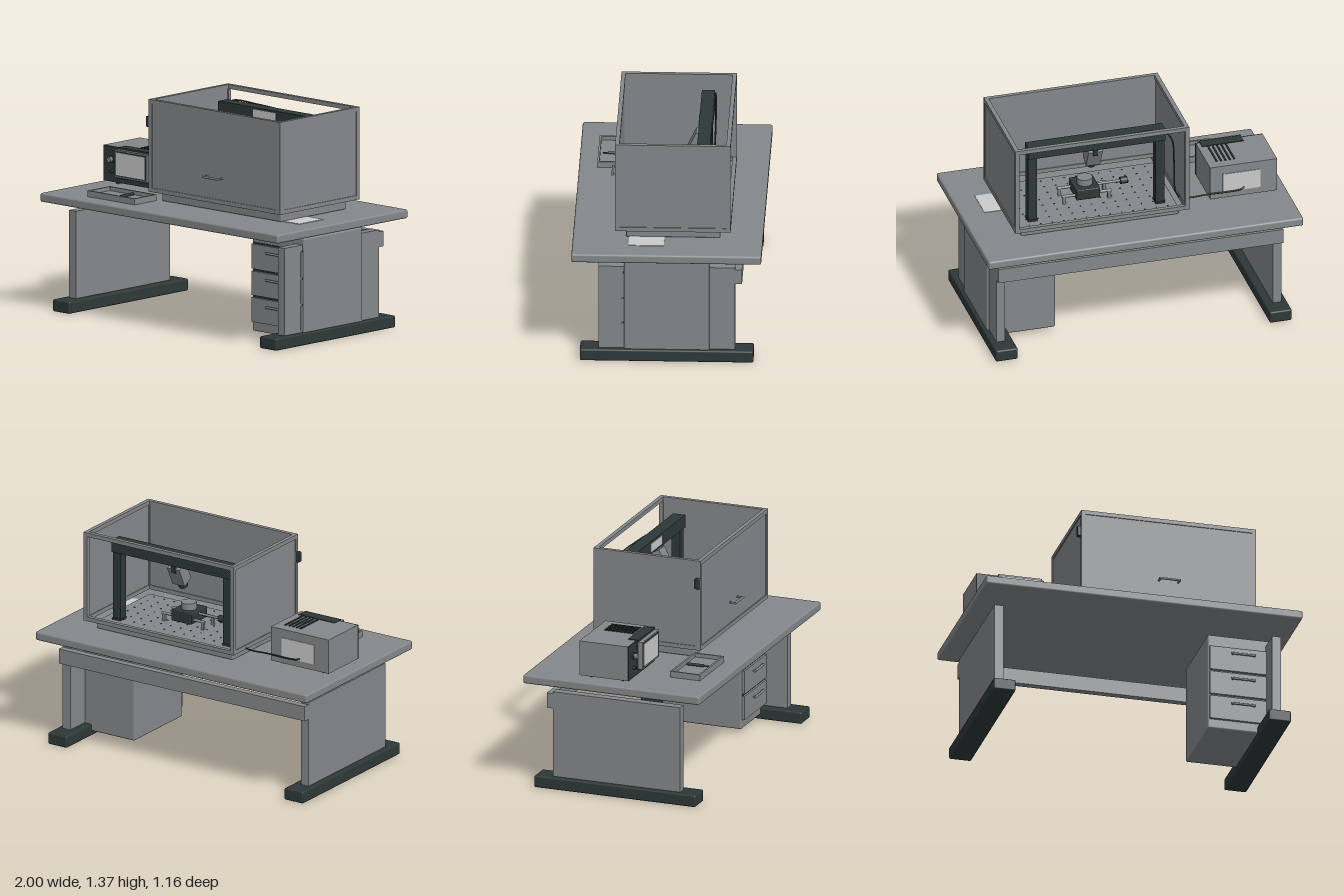
import * as THREE from 'three';
import { RoundedBoxGeometry } from 'three/addons/geometries/RoundedBoxGeometry.js';

const mat = (name, color) => {
  const m = new THREE.MeshStandardMaterial({ color });
  m.name = name;
  return m;
};

export function createModel() {
  const grey = mat('grey', 0x85888b);
  const dark = mat('charcoal', 0x2e3838);
  const light = mat('pale grey', 0xcbcbcb);
  const root = new THREE.Group();
  root.name = 'labBench';

  const group = (name) => {
    const g = new THREE.Group();
    g.name = name;
    root.add(g);
    return g;
  };
  const add = (parent, name, geo, m) => {
    const mesh = new THREE.Mesh(geo, m);
    mesh.name = name;
    parent.add(mesh);
    return mesh;
  };
  // box from min/max extents, optionally with rounded edges
  const box = (p, name, m, x0, x1, y0, y1, z0, z1, r = 0) => {
    const s = [x1 - x0, y1 - y0, z1 - z0];
    const mesh = add(p, name, r ? new RoundedBoxGeometry(...s, 2, r) : new THREE.BoxGeometry(...s), m);
    mesh.position.set((x0 + x1) / 2, (y0 + y1) / 2, (z0 + z1) / 2);
    return mesh;
  };
  // cylinder along a chosen axis
  const rod = (p, name, m, axis, r, len, x, y, z, sides = 20) => {
    const mesh = add(p, name, new THREE.CylinderGeometry(r, r, len, sides), m);
    if (axis === 'x') mesh.rotation.z = Math.PI / 2;
    if (axis === 'z') mesh.rotation.x = Math.PI / 2;
    mesh.position.set(x, y, z);
    return mesh;
  };
  // bar handle on two short standoffs
  const handle = (p, x, y, z, len, depth, r) => {
    rod(p, 'handleBar', grey, 'x', r, len, x, y, z + depth);
    for (const s of [-1, 1]) rod(p, 'handleStandoff', grey, 'z', r * 0.8, depth, x + s * (len / 2 - r), y, z + depth / 2);
  };
  const tube = (p, name, pts, r) =>
    add(p, name, new THREE.TubeGeometry(new THREE.CatmullRomCurve3(pts.map((q) => new THREE.Vector3(...q))), 60, r, 8), dark);

  // Desk
  const desk = group('desk');
  box(desk, 'tableTop', grey, -1, 1, 0.68, 0.735, -0.58, 0.58, 0.012);
  for (const s of [-1, 1]) {
    box(desk, 'foot', dark, s * 0.87 - 0.07, s * 0.87 + 0.07, 0, 0.075, -0.53, 0.53, 0.01);
    box(desk, 'legPanel', grey, s * 0.878 - 0.028, s * 0.878 + 0.028, 0.07, 0.618, -0.418, 0.418);
  }
  box(desk, 'rearBeam', grey, -0.905, 0.905, 0.51, 0.605, -0.46, -0.415);

  // Drawer cabinet
  const cabinet = group('drawerCabinet');
  box(cabinet, 'cabinetBody', grey, 0.485, 0.92, 0.03, 0.657, -0.26, 0.26, 0.01);
  [[0.09, 0.242, 0.197], [0.256, 0.406, 0.365], [0.42, 0.575, 0.533]].forEach(([y0, y1, hy]) => {
    box(cabinet, 'drawerFront', grey, 0.495, 0.912, y0, y1, 0.255, 0.279);
    box(cabinet, 'drawerGap', dark, 0.495, 0.912, y1, y1 + 0.009, 0.255, 0.266);
    handle(cabinet, 0.703, hy, 0.279, 0.15, 0.014, 0.007);
  });

  // Enclosure frame: twelve bars, three panels, open top and back
  const enc = group('enclosure');
  const X = [-0.33, 0.775], Y = [0.795, 1.37], Z = [-0.385, 0.32], t = 0.026;
  const ends = (r) => [[r[0], r[0] + t], [r[1] - t, r[1]]];
  for (const y of ends(Y)) {
    for (const z of ends(Z)) box(enc, 'frameRailLong', grey, X[0] + t, X[1] - t, ...y, ...z);
    for (const x of ends(X)) box(enc, 'frameRailSide', grey, ...x, ...y, Z[0] + t, Z[1] - t);
  }
  for (const x of ends(X)) for (const z of ends(Z)) box(enc, 'framePost', grey, ...x, ...Y, ...z);
  const g = 0.005;
  for (const x of ends(X)) {
    box(enc, 'sidePanel', grey, x[0] + 0.006, x[1] - 0.006, Y[0] + t - g, Y[1] - t + g, Z[0] + t - g, Z[1] - t + g);
  }
  box(enc, 'frontDoor', grey, X[0] + t - g, X[1] - t + g, Y[0] + t - g, Y[1] - t + g, Z[1] - 0.02, Z[1] - 0.006);
  handle(enc, 0.222, 0.955, 0.313, 0.135, 0.04, 0.007);
  box(enc, 'sideLatch', dark, -0.355, -0.33, 1.195, 1.262, 0.29, 0.322, 0.006);

  // Optical breadboard with a grid of holes
  const board = group('breadboard');
  box(board, 'breadboardPlate', grey, -0.28, 0.72, 0.735, 0.785, -0.32, 0.255, 0.006);
  for (let i = 0; i < 13; i++) {
    for (let j = 0; j < 8; j++) rod(board, 'boardHole', dark, 'y', 0.005, 0.003, -0.22 + i * 0.0733, 0.786, -0.29 + j * 0.0725, 8);
  }

  // Gantry and tilted camera
  const gantry = group('gantry');
  box(gantry, 'gantryBeam', dark, -0.215, 0.655, 1.225, 1.305, -0.255, -0.175);
  for (const x of [-0.185, 0.625]) {
    box(gantry, 'gantryPost', dark, x - 0.028, x + 0.028, 0.79, 1.225, -0.243, -0.187);
    box(gantry, 'gantryFoot', dark, x - 0.03, x + 0.03, 0.785, 0.797, -0.25, -0.18);
  }
  box(gantry, 'beamLabel', light, 0.08, 0.27, 1.237, 1.293, -0.176, -0.171);
  const camera = group('inspectionCamera');
  camera.position.set(0.22, 1.145, -0.16);
  camera.rotation.x = -0.45;
  box(camera, 'cameraBody', grey, -0.045, 0.045, -0.06, 0.075, -0.04, 0.04);
  rod(camera, 'cameraLens', dark, 'y', 0.03, 0.04, 0, -0.08, 0);
  box(gantry, 'cameraBracket', dark, 0.205, 0.235, 1.17, 1.23, -0.23, -0.19);

  // Sample stage on two guide rods
  const stage = group('sampleStage');
  for (const z of [-0.09, 0.02]) {
    rod(stage, 'guideRod', grey, 'x', 0.009, 0.315, 0.2375, 0.835, z);
    for (const x of [0.095, 0.38]) box(stage, 'rodSupport', grey, x - 0.01, x + 0.01, 0.785, 0.835, z - 0.008, z + 0.008);
  }
  box(stage, 'stageBlock', dark, 0.16, 0.31, 0.81, 0.88, -0.12, 0.055, 0.006);
  rod(stage, 'sampleDisc', grey, 'y', 0.048, 0.045, 0.235, 0.9, -0.035, 32);
  rod(stage, 'leadScrew', grey, 'x', 0.008, 0.16, 0.085, 0.86, -0.035);
  rod(stage, 'screwKnob', dark, 'x', 0.022, 0.045, -0.012, 0.86, -0.035);

  // Controller unit
  const ctl = group('controller');
  box(ctl, 'controllerBody', grey, -0.93, -0.505, 0.755, 0.975, -0.235, 0.08);
  box(ctl, 'frontPanel', dark, -0.93, -0.503, 0.755, 0.975, 0.08, 0.088);
  box(ctl, 'screenHousing', dark, -0.795, -0.53, 0.785, 0.979, 0.03, 0.1);
  box(ctl, 'screenBezel', grey, -0.8, -0.528, 0.795, 0.968, 0.1, 0.126);
  box(ctl, 'screenSurround', dark, -0.792, -0.536, 0.803, 0.96, 0.124, 0.128);
  box(ctl, 'screen', light, -0.783, -0.545, 0.812, 0.952, 0.125, 0.131);
  rod(ctl, 'dial', grey, 'z', 0.017, 0.032, -0.856, 0.896, 0.104);
  rod(ctl, 'dialCollar', dark, 'z', 0.022, 0.012, -0.856, 0.896, 0.094);
  rod(ctl, 'smallKnob', dark, 'z', 0.01, 0.02, -0.856, 0.82, 0.098);
  box(ctl, 'rearPlate', light, -0.825, -0.585, 0.795, 0.92, -0.239, -0.234);
  for (let i = 0; i < 5; i++) box(ctl, 'ventSlat', dark, -0.683 + i * 0.028, -0.673 + i * 0.028, 0.974, 0.981, -0.17, 0.02);
  for (const x of [-0.865, -0.57]) for (const z of [-0.18, 0.027]) rod(ctl, 'controllerFoot', dark, 'y', 0.014, 0.022, x, 0.745, z);

  // Cable from the controller up the gantry post and along the beam
  const cables = group('cables');
  tube(cables, 'signalCable', [[-0.72, 0.81, -0.238], [-0.7, 0.803, -0.247], [-0.5, 0.8, -0.247], [-0.32, 0.805, -0.247],
    [-0.28, 0.86, -0.25], [-0.27, 1.05, -0.258], [-0.25, 1.24, -0.26], [-0.18, 1.3, -0.26], [0.05, 1.305, -0.26], [0.27, 1.295, -0.257]], 0.005);

  // Tool tray with a pen, and a sheet on the desk
  const tray = group('toolTray');
  box(tray, 'trayFloor', grey, -0.705, -0.31, 0.735, 0.748, 0.27, 0.467);
  for (const z of [0.27, 0.455]) box(tray, 'trayWall', grey, -0.705, -0.31, 0.745, 0.773, z, z + 0.012);
  for (const x of [-0.705, -0.322]) box(tray, 'trayEnd', grey, x, x + 0.012, 0.745, 0.773, 0.282, 0.455);
  rod(tray, 'penBody', dark, 'z', 0.009, 0.11, -0.485, 0.757, 0.35);
  rod(tray, 'penTip', dark, 'z', 0.004, 0.035, -0.485, 0.757, 0.42);
  box(root, 'paperSheet', light, 0.66, 0.855, 0.734, 0.738, 0.02, 0.235);

  return root;
}
